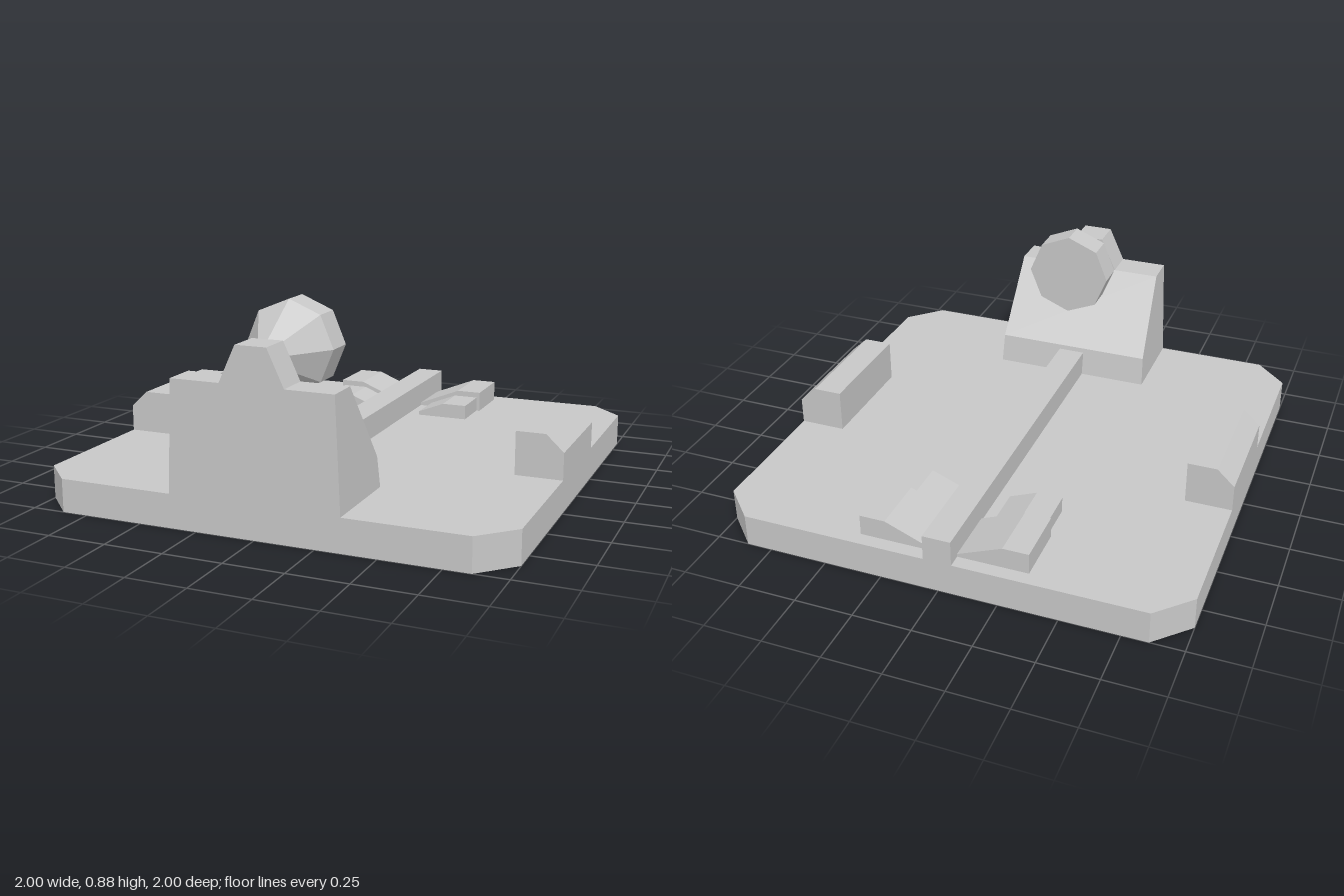
import * as THREE from 'three';

export function createModel() {
  const model = new THREE.Group();
  const grey = new THREE.MeshStandardMaterial({ color: 0xc8c8c8 });
  grey.name = 'grey';

  const add = (name, geometry) => {
    const mesh = new THREE.Mesh(geometry, grey);
    mesh.name = name;
    model.add(mesh);
    return mesh;
  };
  // Straight prism of an outline in x and y, running from z0 to z1
  const prism = (points, z0, z1) => {
    const shape = new THREE.Shape(points.map(([x, y]) => new THREE.Vector2(x, y)));
    return new THREE.ExtrudeGeometry(shape, { depth: z1 - z0, bevelEnabled: false }).translate(0, 0, z0);
  };

  // Base plate with cut corners
  const c = 0.86;
  add('basePlate', prism([
    [-c, -1], [c, -1], [1, -c], [1, c], [c, 1], [-c, 1], [-1, c], [-1, -c],
  ], 0, 0.14).rotateX(-Math.PI / 2));

  // Centre rail
  add('centreRail', new THREE.BoxGeometry(0.12, 0.11, 1.62).translate(0, 0.195, -0.19));

  // Mirrored side blocks and the stepped, sloping pads beside the rail
  for (const [side, s] of [['left', 1], ['right', -1]]) {
    const mirrored = (points) => points.map(([x, y]) => [x * s, y]);
    add(side + 'SideBlock', prism(mirrored([
      [0.8, 0.14], [1, 0.14], [1, 0.255], [0.925, 0.325], [0.8, 0.325],
    ]), -0.26, 0.25));
    add(side + 'LargePad', prism(mirrored([
      [0.06, 0.14], [0.36, 0.14], [0.36, 0.23], [0.25, 0.23], [0.06, 0.153],
    ]), -0.94, -0.69));
    add(side + 'SmallPad', prism(mirrored([
      [0.115, 0.14], [0.345, 0.14], [0.345, 0.205], [0.235, 0.205], [0.115, 0.157],
    ]), -0.69, -0.51));
  }

  // Console: side profile drawn with x = -z, run across x and narrowed upward
  const consoleGeometry = prism([
    [-1, 0.14], [-0.605, 0.14], [-0.625, 0.27], [-0.86, 0.6], [-1, 0.6],
  ], -0.36, 0.36).rotateY(Math.PI / 2);
  const p = consoleGeometry.attributes.position;
  for (let i = 0; i < p.count; i++) {
    p.setX(i, p.getX(i) * (1 - 0.12 * (p.getY(i) - 0.14)) - 0.004);
  }
  consoleGeometry.computeVertexNormals();
  add('console', consoleGeometry);

  // Tapered bracket on top of the console
  add('bracket', prism([[-0.135, 0.6], [0.135, 0.6], [0.065, 0.75], [-0.065, 0.75]], 0.86, 1));

  // Eight-sided lamp head flaring away from the bracket
  const profile = [[0, 0], [0.058, 0], [0.187, 0.19], [0.187, 0.31], [0, 0.31]];
  const lamp = new THREE.LatheGeometry(profile.map(([r, y]) => new THREE.Vector2(r, y)), 8).toNonIndexed();
  lamp.computeVertexNormals();
  add('lampHead', lamp.rotateX(-Math.PI / 2).translate(0, 0.688, 0.86));

  return model;
}
